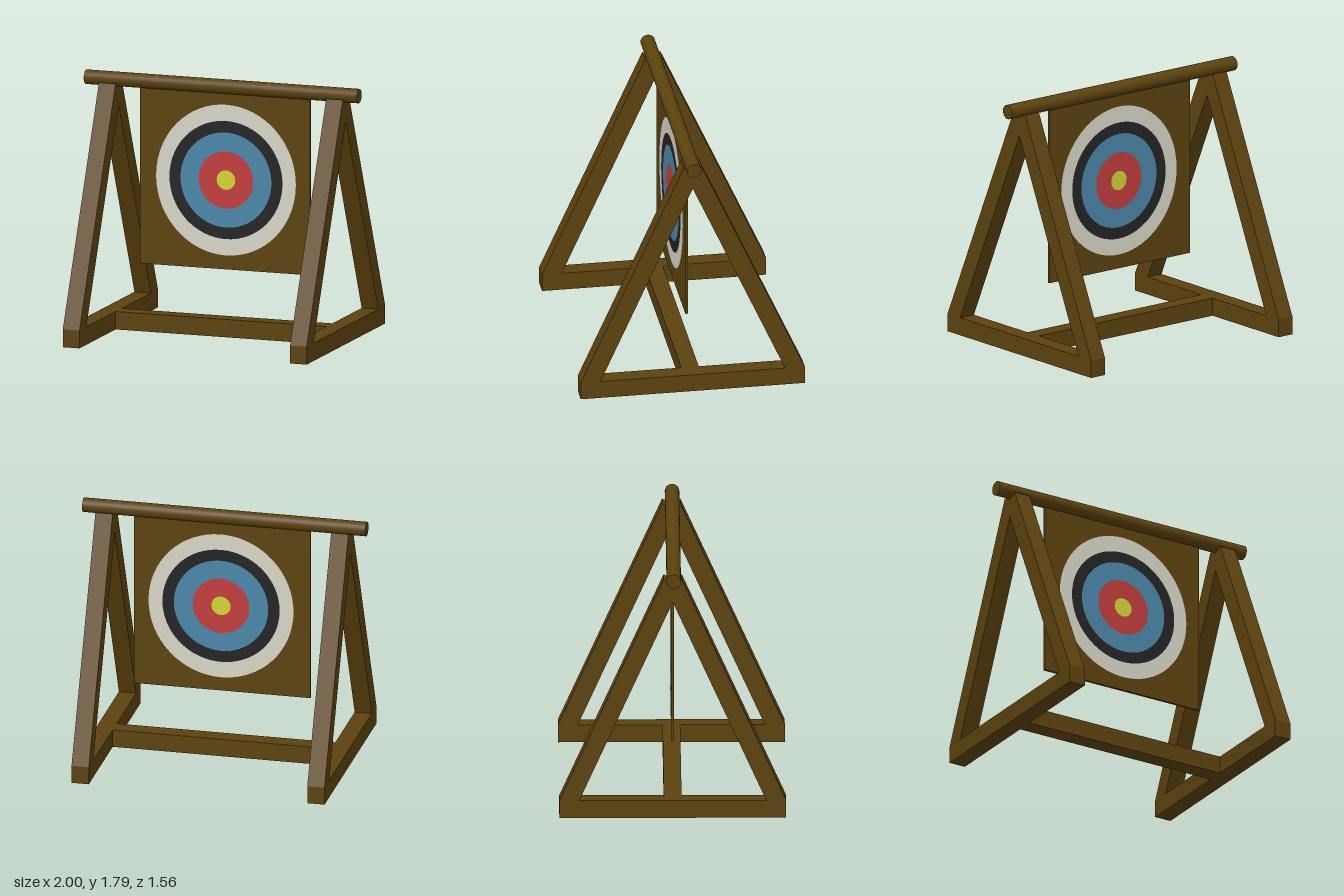
import * as THREE from 'three';

const material = (name, color) => {
  const m = new THREE.MeshStandardMaterial({ color });
  m.name = name;
  return m;
};

export function createModel() {
  const model = new THREE.Group();
  model.name = 'archeryTarget';

  const wood = material('brown wood', 0x5c420e);
  const white = material('off white', 0xd6d5c6);
  const black = material('black', 0x242424);
  const blue = material('blue', 0x4a86a8);
  const red = material('red', 0xc23d3d);
  const yellow = material('yellow', 0xd2d235);

  const add = (name, geometry, mat, x, y, z) => {
    const mesh = new THREE.Mesh(geometry, mat);
    mesh.name = name;
    mesh.position.set(x, y, z);
    model.add(mesh);
    return mesh;
  };
  const points = (list) => list.map(([x, y]) => new THREE.Vector2(x, y));

  // A-frames: side outline with a triangular opening, extruded across the beam width
  const outline = new THREE.Shape(points([
    [-0.78, 0], [0.78, 0], [0.78, 0.125], [0.063, 1.722],
    [0, 1.694], [-0.063, 1.722], [-0.78, 0.125],
  ]));
  outline.holes.push(new THREE.Path(points([[-0.643, 0.125], [0, 1.56], [0.643, 0.125]])));
  const beam = 0.122;
  const frame = new THREE.ExtrudeGeometry(outline, { depth: beam, bevelEnabled: false });
  frame.translate(0, 0, -beam / 2).rotateY(Math.PI / 2);
  add('leftFrame', frame, wood, 0.84, 0, 0);
  add('rightFrame', frame, wood, -0.825, 0, 0);

  // Beam joining the two frames at the ground
  add('crossBeam', new THREE.BoxGeometry(1.55, 0.125, beam), wood, 0.007, 0.0625, 0);

  // Round rail along the top
  const rail = new THREE.CylinderGeometry(0.05, 0.05, 2, 32).rotateZ(Math.PI / 2);
  add('topRail', rail, wood, 0, 1.745, 0.006);

  // Hanging board
  add('board', new THREE.BoxGeometry(1.245, 1.245, 0.018), wood, 0.0175, 1.0875, 0);

  // Painted rings on both faces: [name, material, radiusX, radiusY]
  const rings = [
    ['whiteRing', white, 0.512, 0.528],
    ['blackRing', black, 0.414, 0.414],
    ['blueRing', blue, 0.333, 0.333],
    ['redRing', red, 0.2, 0.2],
    ['bullseye', yellow, 0.068, 0.068],
  ];
  rings.forEach(([name, mat, rx, ry], i) => {
    const ring = new THREE.Shape().absellipse(0, 0, rx, ry, 0, Math.PI * 2);
    const inner = rings[i + 1];
    if (inner) {
      ring.holes.push(new THREE.Path().absellipse(0, 0, inner[2], inner[3], 0, Math.PI * 2));
    }
    const geometry = new THREE.ShapeGeometry(ring, 32);
    add(name + 'Front', geometry, mat, 0.026, 1.091, 0.011);
    add(name + 'Back', geometry, mat, 0.026, 1.091, -0.011).rotation.y = Math.PI;
  });

  return model;
}
